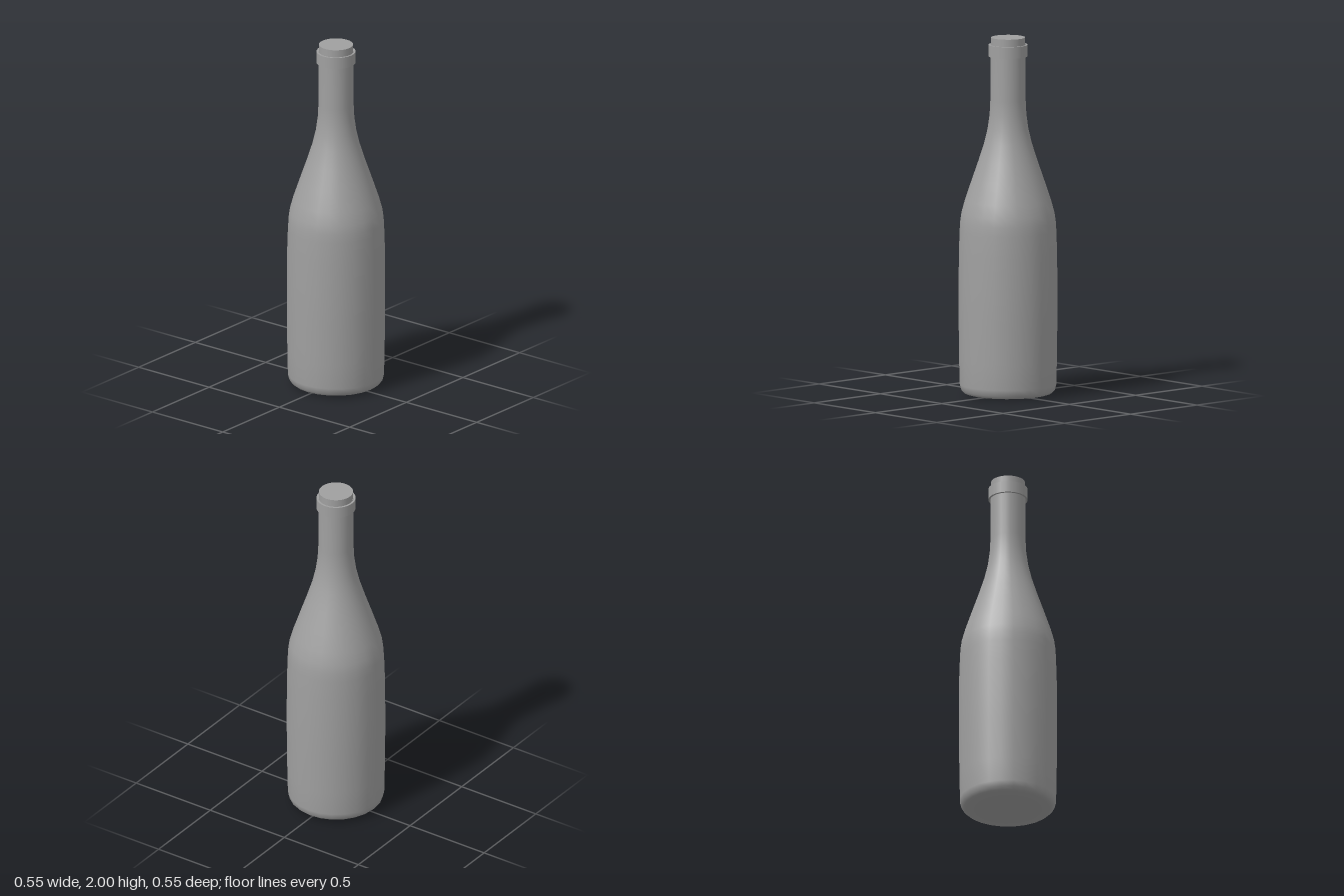
import * as THREE from 'three';

const SIDES = 24;
const material = new THREE.MeshStandardMaterial({ color: 0xa0a0a0 });

function addPart(group, name, geometry, y = 0) {
  const mesh = new THREE.Mesh(geometry, material);
  mesh.name = name;
  mesh.position.y = y;
  group.add(mesh);
}

export function createModel() {
  const group = new THREE.Group();
  group.name = 'bottle';

  // Slightly domed base, body, shoulder and neck: one smooth turned profile, [radius, height]
  const profile = [
    [0, 0], [0.1, 0.002], [0.225, 0.007], [0.245, 0.013], [0.26, 0.028], [0.268, 0.06],
    [0.271, 0.2], [0.274, 0.45], [0.274, 0.6], [0.272, 0.8], [0.268, 0.92],
    [0.265, 0.97], [0.258, 1.02], [0.239, 1.09], [0.202, 1.2], [0.164, 1.31], [0.132, 1.41],
    [0.113, 1.49], [0.102, 1.57], [0.098, 1.65], [0.098, 1.964],
  ].map(([r, y]) => new THREE.Vector2(r, y));
  addPart(group, 'glassBody', new THREE.LatheGeometry(profile, SIDES));

  // Raised collar below the mouth
  addPart(group, 'neckRing', new THREE.CylinderGeometry(0.109, 0.109, 0.065, SIDES), 1.927);

  // Stopper standing out of the mouth
  addPart(group, 'stopper', new THREE.CylinderGeometry(0.095, 0.095, 0.1, SIDES), 1.95);

  return group;
}
